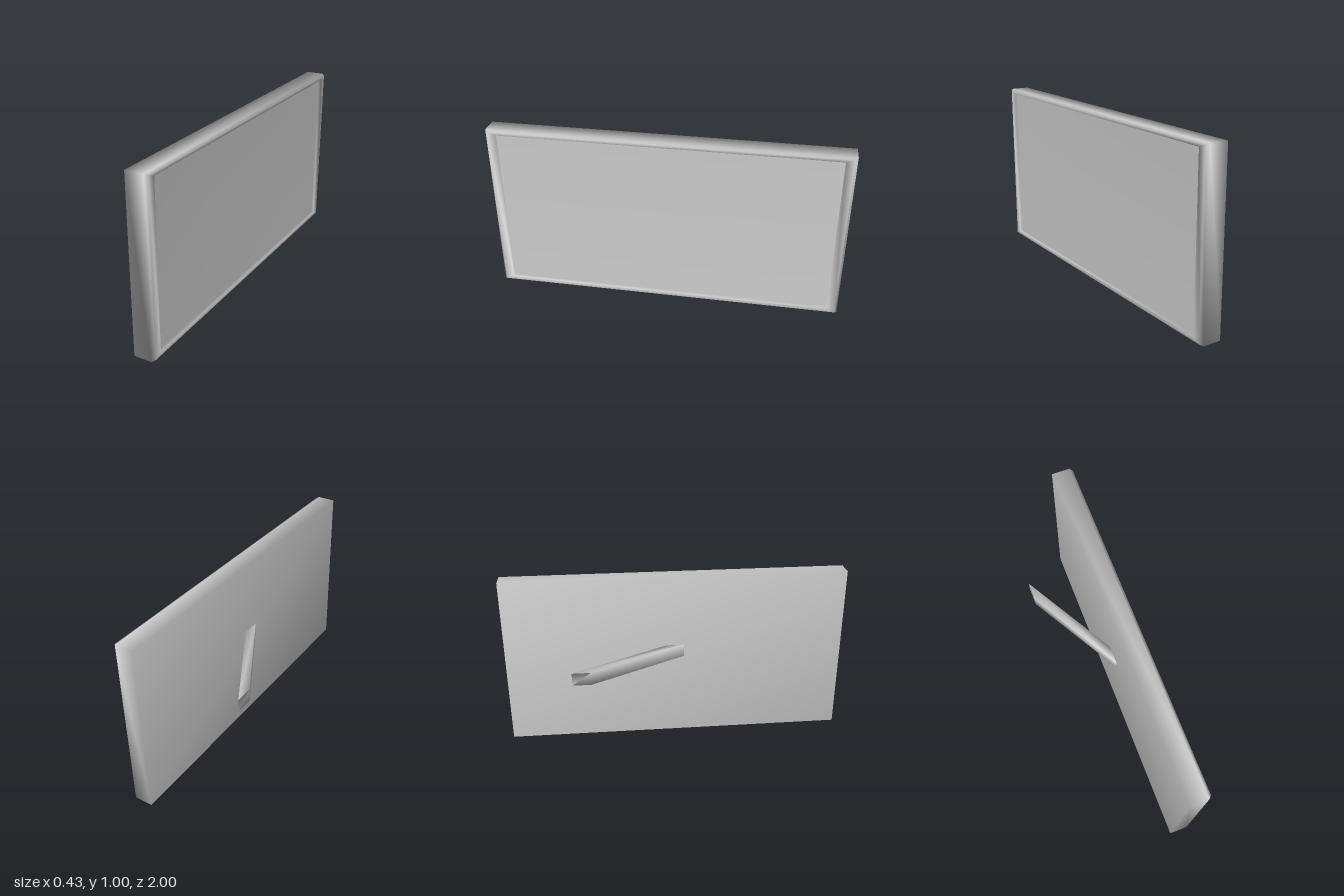
import * as THREE from 'three';

// Closed loft along x through rectangular sections [x, y0, y1, z0, z1].
// Shared vertices give the soft shading across edges.
function loft(name, sections) {
  const pos = [], idx = [];
  for (const [x, y0, y1, z0, z1] of sections) {
    pos.push(x, y0, z0, x, y1, z0, x, y1, z1, x, y0, z1);
  }
  for (let s = 0; s < sections.length - 1; s++) {
    for (let i = 0; i < 4; i++) {
      const a = s * 4 + i, b = s * 4 + (i + 1) % 4;
      idx.push(a, b, b + 4, a, b + 4, a + 4);
    }
  }
  const e = (sections.length - 1) * 4;
  idx.push(0, 2, 1, 0, 3, 2);
  idx.push(e, e + 1, e + 2, e, e + 2, e + 3);
  const geometry = new THREE.BufferGeometry();
  geometry.setAttribute('position', new THREE.Float32BufferAttribute(pos, 3));
  geometry.setIndex(idx);
  geometry.computeVertexNormals();
  const mesh = new THREE.Mesh(geometry, new THREE.MeshStandardMaterial({ color: 0xcccccc }));
  mesh.name = name;
  return mesh;
}

export function createModel() {
  const model = new THREE.Group();
  model.name = 'wallScreen';

  // Panel: flat back, chamfered front rim, shallow recess holding the screen
  model.add(loft('screenPanel', [
    [0.095, 0, 1, -1, 1],
    [0.2, 0, 1, -1, 1],
    [0.215, 0.008, 0.992, -0.985, 0.985],
    [0.215, 0.03, 0.975, -0.94, 0.94],
    [0.197, 0.03, 0.975, -0.94, 0.94],
  ]));

  // Slanted wall arm, cut parallel to the panel at both ends
  model.add(loft('wallArm', [
    [-0.215, 0.502, 0.576, -0.605, -0.5],
    [0.096, 0.502, 0.576, -0.055, 0.05],
  ]));

  return model;
}
